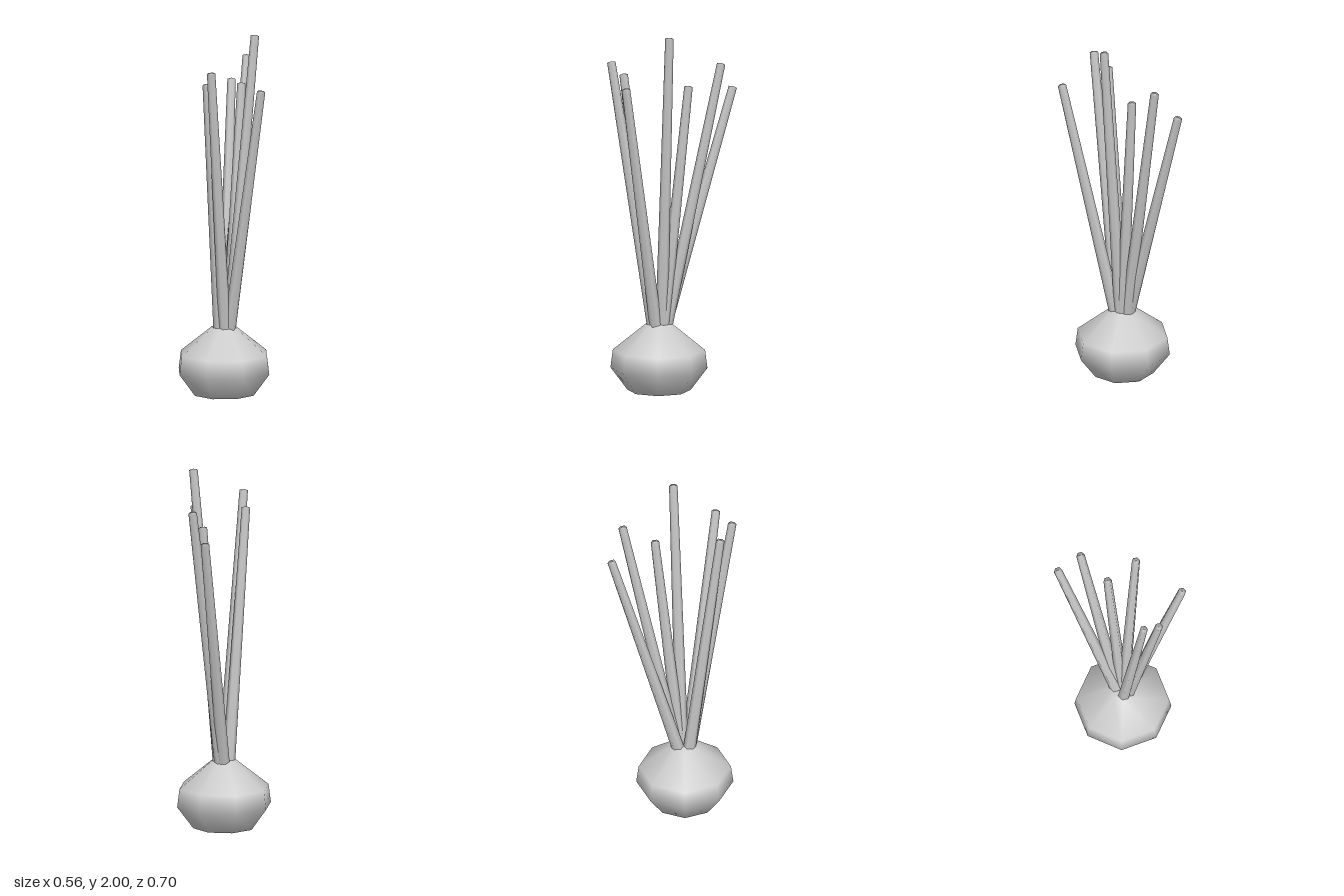
import * as THREE from 'three';

const material = new THREE.MeshStandardMaterial({ color: 0xcccccc });
const UP = new THREE.Vector3(0, 1, 0);

// Smooth-shaded turned solid from [radius, height] pairs
function turned(name, profile, sides) {
  const points = profile.map(([r, y]) => new THREE.Vector2(r, y));
  const mesh = new THREE.Mesh(new THREE.LatheGeometry(points, sides), material);
  mesh.name = name;
  return mesh;
}

// Tapered six-sided stalk running from base to tip
function stalk(base, tip) {
  const from = new THREE.Vector3(...base);
  const dir = new THREE.Vector3(...tip).sub(from);
  const h = dir.length();
  const mesh = turned('stalk', [[0, 0], [0.034, 0], [0.023, h - 0.006], [0, h]], 6);
  mesh.position.copy(from);
  mesh.quaternion.setFromUnitVectors(UP, dir.normalize());
  return mesh;
}

export function createModel() {
  const group = new THREE.Group();
  group.name = 'bulbPlant';

  // Eight-sided bulb
  const bulb = turned('bulb', [
    [0, 0], [0.172, 0.018], [0.263, 0.14], [0.25, 0.24], [0.07, 0.385], [0, 0.392],
  ], 8);
  bulb.position.set(-0.022, 0, 0.07);
  group.add(bulb);

  // Stalks fanning out of the neck: base, tip
  const stalks = [
    [[-0.04, 0.37, 0.035], [-0.132, 1.68, -0.328]],
    [[-0.025, 0.37, 0.03], [-0.02, 1.83, -0.268]],
    [[-0.005, 0.37, 0.045], [0.017, 1.71, -0.092]],
    [[0.0, 0.37, 0.055], [0.134, 2.0, 0.008]],
    [[0.015, 0.37, 0.085], [0.26, 1.742, 0.24]],
    [[-0.005, 0.37, 0.1], [0.003, 1.84, 0.328]],
    [[-0.038, 0.37, 0.095], [-0.048, 1.762, 0.263]],
  ];
  const leaves = new THREE.Group();
  leaves.name = 'stalks';
  for (const [base, tip] of stalks) leaves.add(stalk(base, tip));
  group.add(leaves);

  return group;
}
